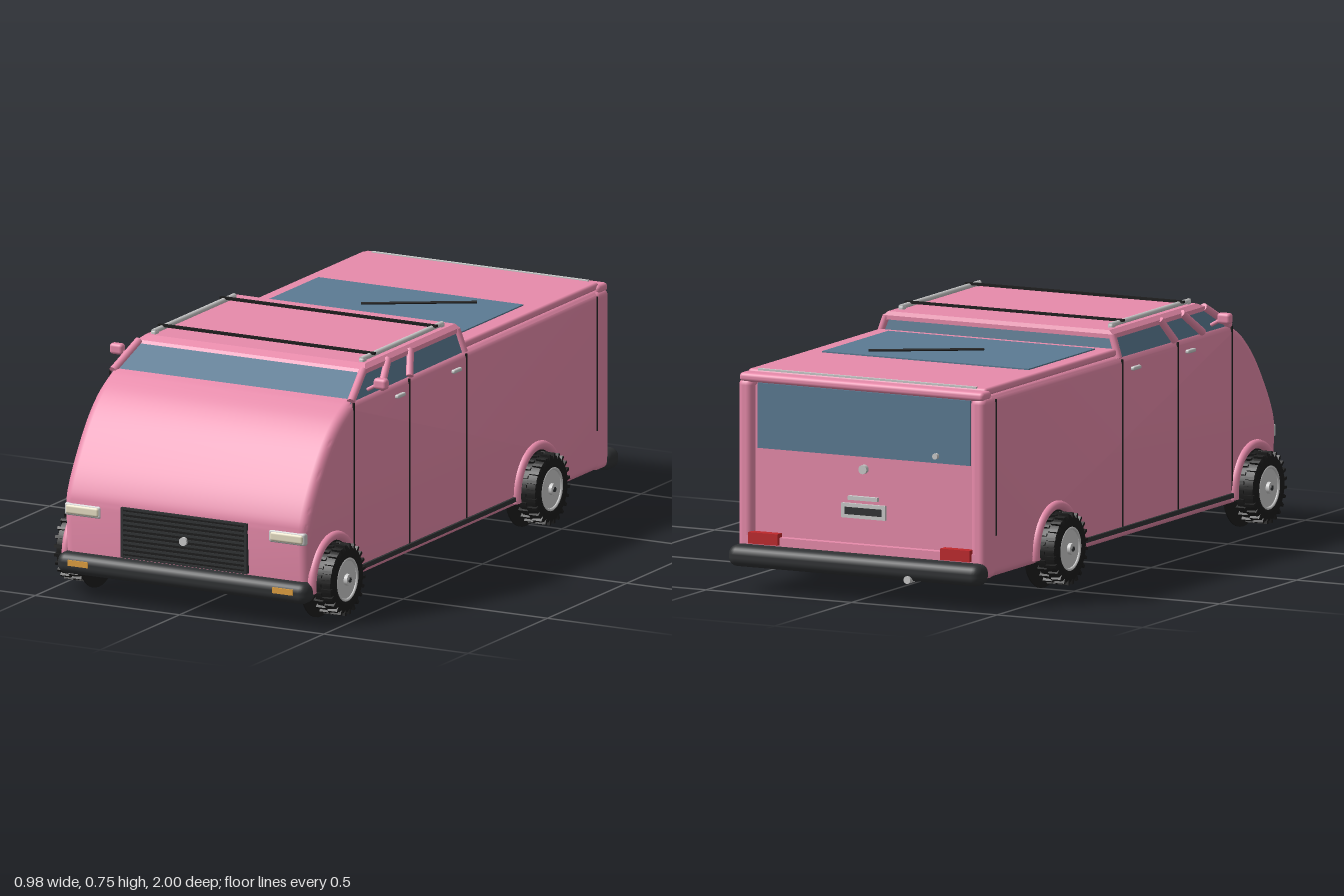
import * as THREE from 'three';
import { toCreasedNormals } from 'three/addons/utils/BufferGeometryUtils.js';
import { RoundedBoxGeometry } from 'three/addons/geometries/RoundedBoxGeometry.js';
import { ConvexGeometry } from 'three/addons/geometries/ConvexGeometry.js';

const paint = (color) => new THREE.MeshStandardMaterial({ color });
const PINK = paint(0xe88bab), GLASS = paint(0x5b7b93), BLACK = paint(0x1c1c1c), TRIM = paint(0x303234);
const GREY = paint(0xcccccc), CREAM = paint(0xe8dfc4), AMBER = paint(0xe0a040), RED = paint(0xc0282c);

export function createModel() {
  const van = new THREE.Group();
  van.name = 'van';

  const add = (name, geo, mat, x = 0, y = 0, z = 0, parent = van) => {
    const m = new THREE.Mesh(geo, mat);
    m.name = name;
    m.position.set(x, y, z);
    parent.add(m);
    return m;
  };
  const box = (name, mat, w, h, d, x, y, z, parent) =>
    add(name, new THREE.BoxGeometry(w, h, d), mat, x, y, z, parent);
  const rbox = (name, mat, w, h, d, r, x, y, z, parent) =>
    add(name, new RoundedBoxGeometry(w, h, d, 3, r), mat, x, y, z, parent);
  // Round bar between two points
  const bar = (name, mat, a, b, r, sides = 10) => {
    const p = new THREE.Vector3(...a), q = new THREE.Vector3(...b);
    const m = add(name, new THREE.CylinderGeometry(r, r, p.distanceTo(q), sides), mat);
    m.position.copy(p).add(q).multiplyScalar(0.5);
    m.quaternion.setFromUnitVectors(new THREE.Vector3(0, 1, 0), q.sub(p).normalize());
    return m;
  };
  // Tapered block; each level is [y, halfWidth, zFront, zBack]
  const taper = (name, mat, levels) => {
    const pts = [];
    for (const [y, w, zf, zb] of levels)
      for (const x of [-w, w]) for (const z of [zf, zb]) pts.push(new THREE.Vector3(x, y, z));
    return add(name, new ConvexGeometry(pts), mat);
  };

  // Body shell: side profile extruded across the width with softened edges
  const side = new THREE.Shape();
  side.moveTo(-0.905, 0.09);
  side.lineTo(0.955, 0.09);
  side.lineTo(0.967, 0.28);
  side.splineThru([[0.96, 0.33], [0.92, 0.41], [0.84, 0.524], [0.76, 0.6], [0.67, 0.65]]
    .map(([z, y]) => new THREE.Vector2(z, y)));
  side.lineTo(-0.905, 0.655);
  side.closePath();
  const R = 0.03, half = 0.423;
  const shell = new THREE.ExtrudeGeometry(side, {
    depth: 2 * (half - R), bevelEnabled: true, bevelSize: R, bevelOffset: -R,
    bevelThickness: R, bevelSegments: 5, curveSegments: 5,
  });
  shell.translate(0, 0, R - half).rotateY(-Math.PI / 2);
  add('body', toCreasedNormals(shell, 0.6), PINK);

  // Cabin glass and roof
  taper('cabinGlass', GLASS, [[0.64, 0.413, 0.675, -0.05], [0.71, 0.39, 0.555, -0.04]]);
  taper('cabinRoof', PINK, [[0.705, 0.396, 0.56, -0.05], [0.718, 0.394, 0.55, -0.05], [0.73, 0.38, 0.52, -0.045]]);

  // Rear deck with its skylight
  rbox('rearRoof', PINK, 0.82, 0.024, 0.85, 0.01, 0, 0.664, -0.475);
  box('skylight', GLASS, 0.71, 0.008, 0.43, -0.005, 0.676, -0.315);
  bar('skylightWiper', BLACK, [-0.08, 0.684, -0.29], [0.22, 0.684, -0.475], 0.004, 6);
  box('rearRoofTrim', GREY, 0.75, 0.006, 0.01, 0, 0.676, -0.895);

  // Tailgate
  box('tailgate', PINK, 0.76, 0.46, 0.02, 0, 0.4, -0.905);
  box('tailgateGlass', GLASS, 0.73, 0.2, 0.01, 0, 0.538, -0.915);
  rbox('tailgateLip', PINK, 0.84, 0.028, 0.06, 0.012, 0, 0.655, -0.91);
  box('tailgateSill', PINK, 0.8, 0.08, 0.06, 0, 0.13, -0.91);
  add('tailgateLock', new THREE.CylinderGeometry(0.014, 0.014, 0.02, 16).rotateX(Math.PI / 2), GREY, 0, 0.4, -0.92);
  add('rearWiperPivot', new THREE.CylinderGeometry(0.009, 0.009, 0.02, 12).rotateX(Math.PI / 2), GREY, -0.25, 0.46, -0.923);
  box('tailgateHandle', GREY, 0.1, 0.012, 0.02, 0, 0.31, -0.92);
  box('plateHolder', GREY, 0.15, 0.045, 0.012, 0, 0.27, -0.919);
  box('plate', TRIM, 0.125, 0.022, 0.012, 0, 0.27, -0.922);

  // Bumpers
  rbox('frontBumper', TRIM, 0.87, 0.066, 0.075, 0.028, 0, 0.111, 0.958);
  rbox('rearBumper', TRIM, 0.87, 0.066, 0.08, 0.028, 0, 0.111, -0.955);
  add('exhaust', new THREE.CylinderGeometry(0.012, 0.012, 0.16, 14).rotateX(Math.PI / 2), GREY, -0.19, 0.085, -0.92);

  // Grille
  box('grille', BLACK, 0.435, 0.155, 0.02, 0, 0.228, 0.96);
  for (const s of [-1, 1]) {
    box('grilleFrame', TRIM, 0.008, 0.157, 0.026, s * 0.214, 0.228, 0.962);
    box('grilleFrame', TRIM, 0.435, 0.006, 0.026, 0, 0.228 + s * 0.0755, 0.962);
  }
  for (let i = 0; i < 9; i++) box('grilleSlat', TRIM, 0.42, 0.007, 0.012, 0, 0.166 + i * 0.0155, 0.968);
  add('grilleBadge', new THREE.CylinderGeometry(0.013, 0.013, 0.01, 20).rotateX(Math.PI / 2), GREY, 0, 0.226, 0.976);

  // Roof rack cross bars
  for (const z of [0.06, 0.45]) box('rackCrossBar', BLACK, 0.75, 0.007, 0.014, 0, 0.744, z);

  // Wheel, outer face towards +x
  const wheel = (s, z) => {
    const g = new THREE.Group();
    g.name = 'wheel';
    const tyre = [[0.066, -0.032], [0.092, -0.035], [0.103, -0.028], [0.105, 0], [0.103, 0.028], [0.092, 0.035], [0.066, 0.032]]
      .map(([r, h]) => new THREE.Vector2(r, h));
    add('tyre', toCreasedNormals(new THREE.LatheGeometry(tyre, 40).rotateZ(-Math.PI / 2), 0.7), BLACK, 0, 0, 0, g);
    for (let i = 0; i < 48; i++) {
      const a = (i / 48) * Math.PI * 2, x = i % 2 ? 0.017 : -0.017;
      const t = box('treadBlock', BLACK, 0.033, 0.02, 0.009, x, Math.cos(a) * 0.101, Math.sin(a) * 0.101, g);
      t.rotation.x = a;
    }
    const disc = (name, mat, r, w, x) =>
      add(name, new THREE.CylinderGeometry(r, r, w, 32).rotateZ(Math.PI / 2), mat, x, 0, 0, g);
    disc('rim', GREY, 0.067, 0.056, 0);
    add('rimRing', new THREE.TorusGeometry(0.064, 0.005, 8, 36).rotateY(Math.PI / 2), GREY, 0.029, 0, 0, g);
    disc('hub', GREY, 0.018, 0.014, 0.032);
    disc('hubCap', TRIM, 0.008, 0.006, 0.039);
    g.position.set(s * 0.446, 0.128, z);
    if (s < 0) g.rotation.y = Math.PI;
    van.add(g);
  };

  for (const s of [-1, 1]) {
    // Wheels, inner wells and arches
    for (const z of [0.81, -0.48]) {
      wheel(s, z);
      add('wheelWell', new THREE.CylinderGeometry(0.128, 0.128, 0.004, 40).rotateZ(Math.PI / 2), BLACK, s * 0.385, 0.13, z);
      add('archShadow', new THREE.CylinderGeometry(0.122, 0.122, 0.004, 40, 1, false, 0, Math.PI).rotateZ(Math.PI / 2),
        BLACK, s * 0.423, 0.125, z);
      const arch = new THREE.TorusGeometry(0.13, 0.014, 10, 36, Math.PI * 1.1);
      arch.rotateZ(-Math.PI * 0.05).rotateY(Math.PI / 2);
      add('wheelArch', arch, PINK, s * 0.426, 0.128, z);
    }

    // Door seams, sill and handles
    for (const z of [0.67, 0.32, -0.04]) box('doorSeam', BLACK, 0.006, 0.515, 0.006, s * 0.422, 0.385, z);
    box('sill', TRIM, 0.014, 0.014, 1.03, s * 0.424, 0.121, 0.155);
    for (const z of [0.39, 0.035]) rbox('doorHandle', GREY, 0.014, 0.012, 0.05, 0.005, s * 0.43, 0.607, z);

    // Cabin pillars
    bar('windscreenPillar', PINK, [s * 0.412, 0.645, 0.67], [s * 0.388, 0.715, 0.55], 0.013);
    bar('middlePillar', PINK, [s * 0.418, 0.648, 0.49], [s * 0.392, 0.718, 0.4], 0.012);
    bar('middlePillar', PINK, [s * 0.418, 0.648, 0.31], [s * 0.392, 0.718, 0.26], 0.012);
    bar('rearPillar', PINK, [s * 0.412, 0.645, -0.045], [s * 0.388, 0.715, -0.04], 0.012);

    // Mirrors
    rbox('mirror', PINK, 0.045, 0.034, 0.028, 0.01, s * 0.457, 0.684, 0.56);
    bar('mirrorArm', PINK, [s * 0.41, 0.66, 0.56], [s * 0.445, 0.68, 0.56], 0.006);

    // Roof rack rails on feet
    bar('rackRail', GREY, [s * 0.36, 0.738, 0], [s * 0.36, 0.738, 0.51], 0.008);
    for (const z of [0.01, 0.5]) rbox('rackFoot', GREY, 0.018, 0.022, 0.024, 0.006, s * 0.36, 0.73, z);

    // Rear corner posts
    rbox('rearPost', PINK, 0.05, 0.56, 0.08, 0.02, s * 0.4, 0.371, -0.9);
    box('rearPostSeam', BLACK, 0.004, 0.42, 0.004, s * 0.4235, 0.43, -0.862);

    // Lamps
    rbox('headlampRim', GREY, 0.127, 0.04, 0.05, 0.008, s * 0.354, 0.278, 0.945);
    rbox('headlamp', CREAM, 0.115, 0.03, 0.05, 0.008, s * 0.354, 0.278, 0.949);
    box('turnLamp', AMBER, 0.07, 0.018, 0.01, s * 0.355, 0.117, 0.993);
    box('tailLamp', RED, 0.1, 0.035, 0.03, s * 0.33, 0.165, -0.938);
  }
  return van;
}
